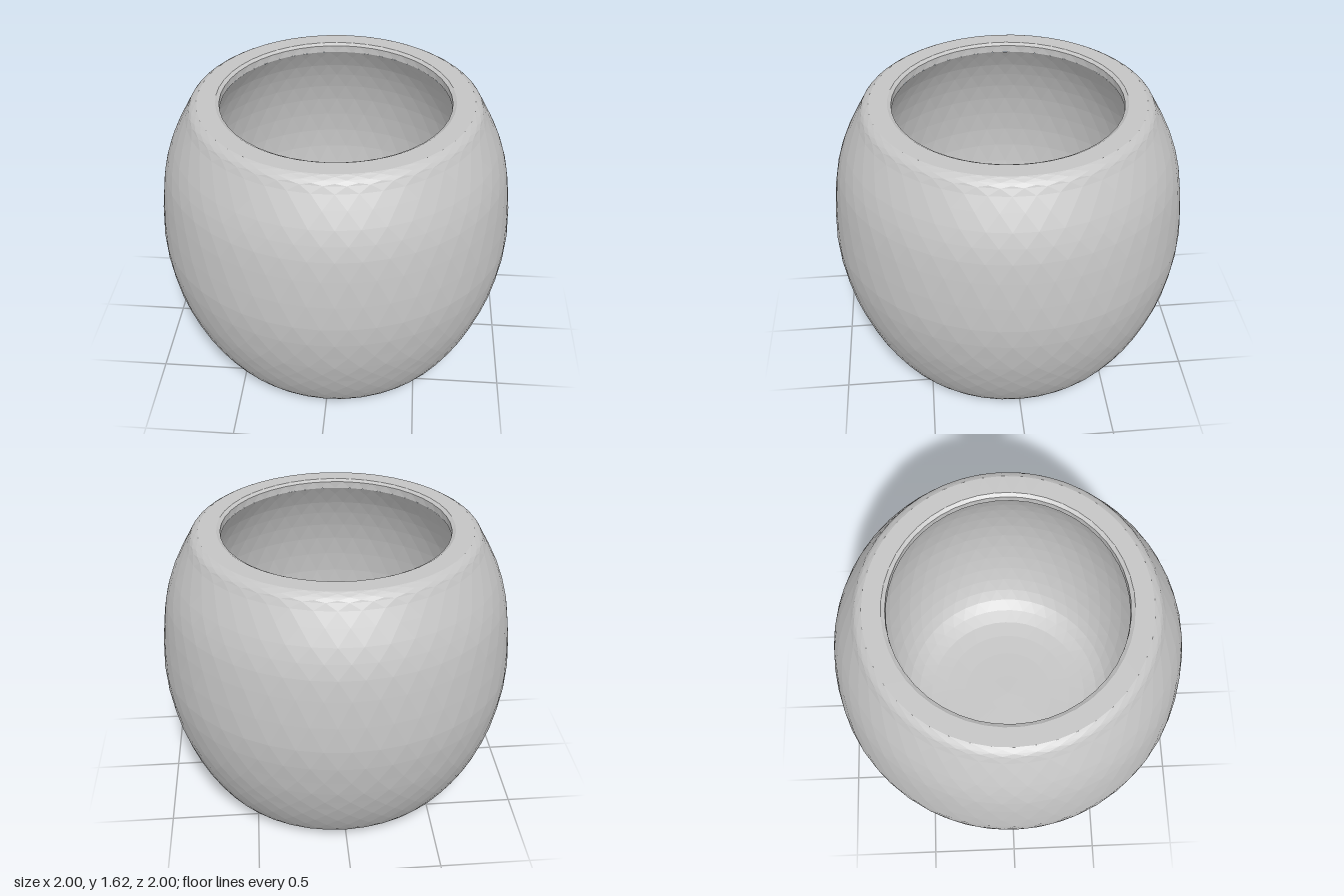
import * as THREE from 'three';

const SIDES = 44;

// Smooth curve through a few [radius, height] points
function curve(points, steps) {
  return new THREE.SplineCurve(points.map(([r, y]) => new THREE.Vector2(r, y))).getPoints(steps);
}

// Faceted surface of revolution: each ring is turned half a step further,
// and the underside leans slightly, as in a hand-shaped pot
function facetedLathe(profile) {
  const geometry = new THREE.LatheGeometry(profile, SIDES);
  const position = geometry.attributes.position;
  const axis = new THREE.Vector3(0, 1, 0);
  const p = new THREE.Vector3();
  for (let i = 0; i < position.count; i++) {
    const ring = i % profile.length;
    p.fromBufferAttribute(position, i).applyAxisAngle(axis, ring * Math.PI / SIDES);
    const lean = Math.max(0, 1 - p.y / 0.4);
    p.y = Math.max(0, p.y - lean * (0.02 * p.x + 0.015 * p.z));
    position.setXYZ(i, p.x, p.y, p.z);
  }
  geometry.computeVertexNormals();
  return geometry;
}

export function createModel() {
  const clay = new THREE.MeshStandardMaterial({ color: 0xc4c4c4, flatShading: true });
  clay.name = 'pale grey clay';

  const parts = {
    // Nearly flat base
    base: [[0, 0.012], [0.3, 0.012], [0.6, 0.018], [0.7, 0.035]].map(([r, y]) => new THREE.Vector2(r, y)),
    // Bulging outside, rounded at the foot and shoulder
    outerWall: curve([
      [0.7, 0.035], [0.77, 0.09], [0.86, 0.24], [0.925, 0.4], [0.973, 0.58], [1, 0.84],
      [0.965, 1.18], [0.905, 1.38], [0.81, 1.56], [0.785, 1.6], [0.75, 1.622],
    ], 24),
    // Flat lip with a short turned-in edge
    rim: [[0.75, 1.622], [0.65, 1.622], [0.63, 1.61], [0.63, 1.57]].map(([r, y]) => new THREE.Vector2(r, y)),
    // Hollow, following the outside and ending in a rounded floor
    innerWall: curve([
      [0.63, 1.57], [0.73, 1.4], [0.81, 1.15], [0.84, 0.84], [0.8, 0.55], [0.71, 0.32],
      [0.58, 0.19], [0.35, 0.15], [0, 0.15],
    ], 20),
  };

  const pot = new THREE.Group();
  pot.name = 'pot';
  for (const [name, profile] of Object.entries(parts)) {
    const mesh = new THREE.Mesh(facetedLathe(profile), clay);
    mesh.name = name;
    pot.add(mesh);
  }
  return pot;
}
